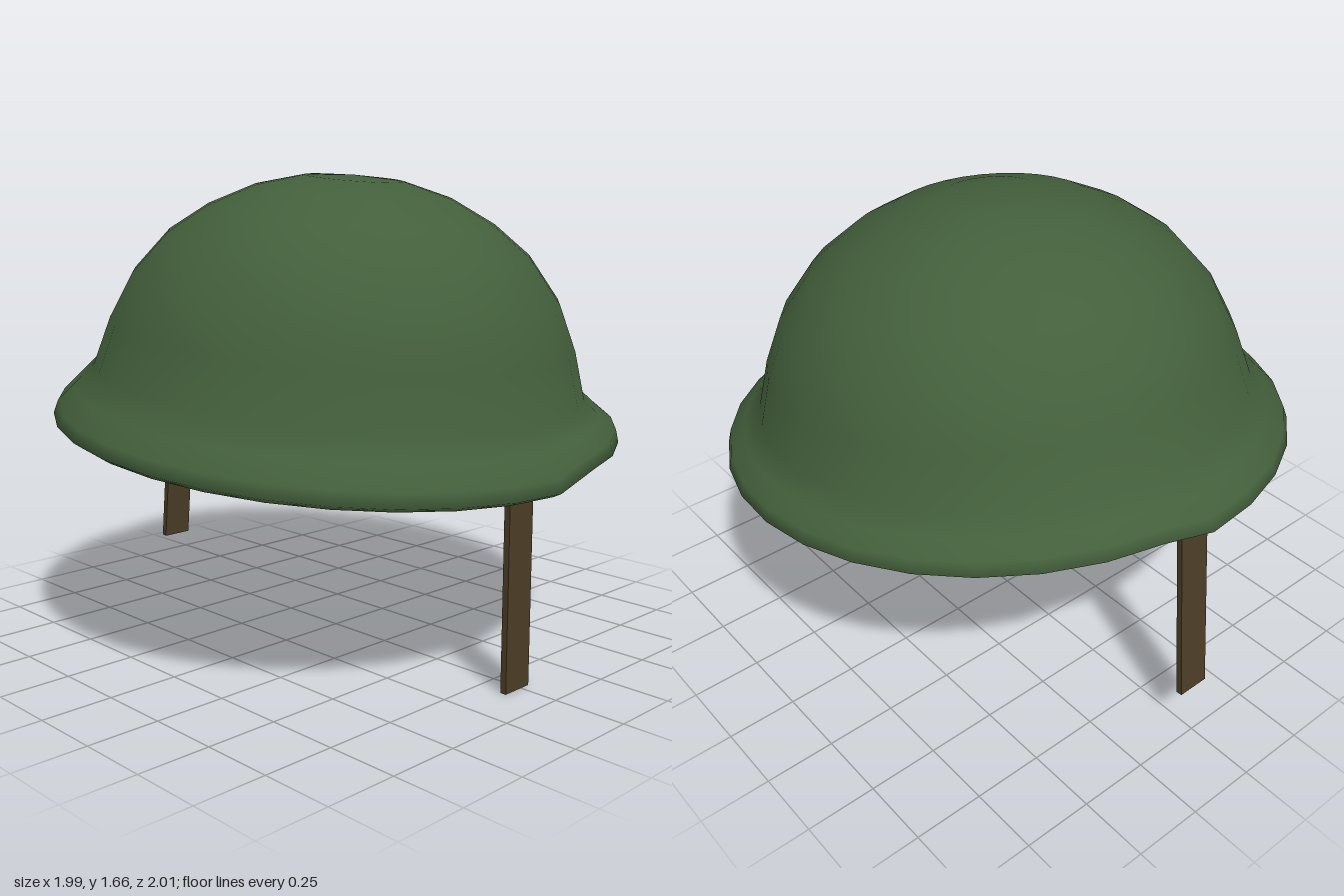
import * as THREE from 'three';
import { mergeVertices } from 'three/addons/utils/BufferGeometryUtils.js';

const TILT = -0.105;      // sideways lean of the shell
const BACK_LIFT = 0.045;  // the rear half of the rim sits higher

function shellGeometry() {
  // Outer profile [radius, height], from the lip up to the crown
  const outer = [
    [0.975, -0.012], [1.003, 0.006], [0.99, 0.05], [0.932, 0.115], [0.87, 0.185], [0.82, 0.352],
    [0.75, 0.508], [0.634, 0.654], [0.502, 0.752], [0.347, 0.829], [0.176, 0.875], [0, 0.886],
  ];
  // Inner wall runs from the crown down to the lip
  const inner = [
    [0, 0.866], [0.172, 0.855], [0.338, 0.81], [0.49, 0.735], [0.618, 0.641],
    [0.731, 0.499], [0.8, 0.346], [0.85, 0.178], [0.916, 0.1], [0.966, 0.035],
  ];
  const profile = [...inner, ...outer].map(([r, y]) => new THREE.Vector2(r, y));
  const lathe = new THREE.LatheGeometry(profile, 32);

  // Step the rear rim upwards, fading out towards the dome
  const p = lathe.attributes.position;
  for (let i = 0; i < p.count; i++) {
    const y = p.getY(i);
    if (p.getZ(i) < -0.05 && y < 0.17) {
      p.setY(i, y + BACK_LIFT * THREE.MathUtils.clamp((0.17 - y) / 0.12, 0, 1));
    }
  }

  // Weld the seam for continuous smooth normals
  lathe.deleteAttribute('uv');
  lathe.deleteAttribute('normal');
  const welded = mergeVertices(lathe, 1e-4);
  welded.computeVertexNormals();
  return welded;
}

// Flat strap hanging between two points in the x-y plane
function makeStrap(name, top, bottom, material) {
  const dx = top[0] - bottom[0];
  const dy = top[1] - bottom[1];
  const strap = new THREE.Mesh(new THREE.BoxGeometry(0.022, Math.hypot(dx, dy), 0.118), material);
  strap.position.set((top[0] + bottom[0]) / 2, (top[1] + bottom[1]) / 2, 0.02);
  strap.rotation.z = -Math.atan2(dx, dy);
  strap.name = name;
  return strap;
}

export function createModel() {
  const green = new THREE.MeshStandardMaterial({ color: 0x435f3b });
  green.name = 'olive green';
  const brown = new THREE.MeshStandardMaterial({ color: 0x4c3d26 });
  brown.name = 'strap brown';

  const model = new THREE.Group();
  model.name = 'helmet';

  // Domed shell with flared brim
  const shell = new THREE.Mesh(shellGeometry(), green);
  shell.name = 'shell';
  shell.position.set(0, 0.77, 0);
  shell.rotation.z = TILT;
  model.add(shell);

  // Chin straps
  model.add(makeStrap('leftStrap', [0.851, 0.79], [0.851, 0], brown));
  model.add(makeStrap('rightStrap', [-0.882, 0.93], [-0.96, 0.167], brown));

  return model;
}
